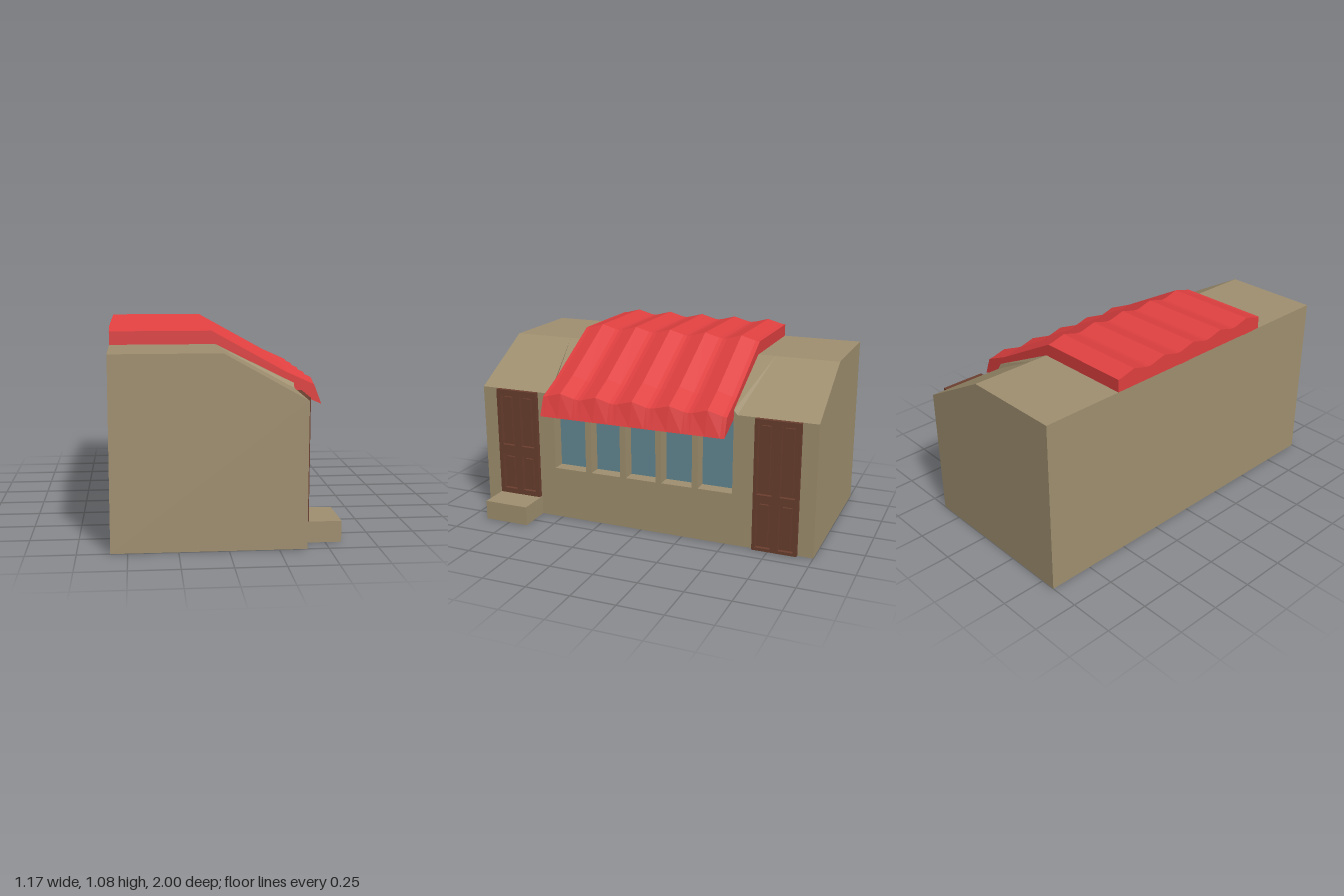
import * as THREE from 'three';
import { ConvexGeometry } from 'three/addons/geometries/ConvexGeometry.js';

const material = (color) => new THREE.MeshStandardMaterial({ color, flatShading: true });

export function createModel() {
  const house = new THREE.Group();
  house.name = 'house';
  const plaster = material(0xa09070);
  const red = material(0xe04040);
  const wood = material(0x6b3f2f);
  const glass = material(0x648a96);

  const add = (parent, name, geometry, mat) => {
    const mesh = new THREE.Mesh(geometry, mat);
    mesh.name = name;
    parent.add(mesh);
    return mesh;
  };
  // Box given by its minimum and maximum corners
  const addBox = (parent, name, mat, [x0, y0, z0], [x1, y1, z1]) => {
    const mesh = add(parent, name, new THREE.BoxGeometry(x1 - x0, y1 - y0, z1 - z0), mat);
    mesh.position.set((x0 + x1) / 2, (y0 + y1) / 2, (z0 + z1) / 2);
    return mesh;
  };
  const toShape = (points) => new THREE.Shape(points.map(([x, y]) => new THREE.Vector2(x, y)));

  const back = -0.585, wall = 0.39, eave = 0.745, ridge = 0.98, half = 0.54;

  // Building: two solid ends and a middle section with a window recess
  const roofLine = [[wall, eave], [-0.03, ridge], [back, ridge]];
  const addSection = (name, notch, z0, z1) => {
    const profile = [[back, 0], [wall, 0], ...notch, ...roofLine];
    const geometry = new THREE.ExtrudeGeometry(toShape(profile), { depth: z1 - z0, bevelEnabled: false });
    add(house, name, geometry.translate(0, 0, z0), plaster);
  };
  const sill = 0.3, head = 0.72, recess = 0.31;
  addSection('leftEndBuilding', [], half, 1);
  addSection('rightEndBuilding', [], -1, -half);
  addSection('middleBuilding',
    [[wall, sill], [recess, sill], [recess, head], [wall, head]], -half, half);

  // Windows and the piers between them
  const pitch = 2 * half / 5;
  for (let i = 0; i < 5; i++) {
    const z = -half + i * pitch;
    addBox(house, 'windowPane', glass, [recess - 0.01, sill, z], [recess + 0.003, head, z + pitch]);
    if (i > 0) addBox(house, 'windowPier', plaster, [recess, sill, z - 0.0175], [wall, head, z + 0.0175]);
  }

  // Roof fillet that lifts the slope up to the tiled part
  const fillet = [];
  for (const s of [-1, 1]) {
    fillet.push(
      new THREE.Vector3(-0.03, ridge, s * 0.64),
      new THREE.Vector3(wall, eave, s * 0.56),
      new THREE.Vector3(wall, 0.77, s * half));
  }
  add(house, 'roofFillet', new ConvexGeometry(fillet), plaster);

  // Corrugated red roof with a drooping front lip
  add(house, 'corrugatedRoof', corrugatedRoof(back, half, pitch), red);

  // Panelled doors
  const addDoor = (name, z0, z1, y0, rows) => {
    const door = new THREE.Group();
    door.name = name;
    house.add(door);
    const width = z1 - z0, middle = (z0 + z1) / 2;
    const outline = toShape([[-width / 2, y0], [width / 2, y0], [width / 2, eave], [-width / 2, eave]]);
    addBox(door, 'doorBacking', wood, [wall - 0.01, y0, z0], [wall + 0.003, eave, z1]);
    for (const s of [-1, 1]) {
      const u = s * 0.0635, h = 0.0415;
      for (const [bottom, top] of rows) {
        outline.holes.push(new THREE.Path([
          new THREE.Vector2(u - h, bottom), new THREE.Vector2(u - h, top),
          new THREE.Vector2(u + h, top), new THREE.Vector2(u + h, bottom)]));
        addBox(door, 'doorPanel', wood,
          [wall, bottom + 0.016, middle + u - h + 0.016],
          [wall + 0.015, top - 0.016, middle + u + h - 0.016]);
      }
    }
    const frame = new THREE.ExtrudeGeometry(outline, { depth: 0.024, bevelEnabled: false });
    add(door, 'doorFrame', frame.rotateY(Math.PI / 2).translate(wall, 0, middle), wood);
  };
  addDoor('leftDoor', 0.64, 0.9, 0.11, [[0.14, 0.352], [0.41, 0.717]]);
  addDoor('rightDoor', -0.913, -0.663, 0.003, [[0.02, 0.285], [0.325, 0.725]]);

  // Doorstep
  addBox(house, 'doorstep', plaster, [wall, 0, 0.635], [0.583, 0.11, 0.9]);
  return house;
}

// Closed cross-sections along z; the upper edge rises and falls with the waves
function corrugatedRoof(back, half, pitch) {
  const ring = (z, w) => [
    [back, 0.978], [-0.03, 0.978], [0.39, 0.765], [0.39, 0.72], [0.54, 0.655],
    [0.5, 0.76 + w], [0.35, 0.828 + w], [-0.05, 1.05 + w], [back, 1.05 + w],
  ].map(([x, y]) => new THREE.Vector3(x, y, z));

  // Each wave: flat valley, rise to a ridge, fall to a flat valley
  const rings = [ring(-half, 0)];
  for (let i = 0; i < 5; i++) {
    const z = -half + i * pitch;
    rings.push(ring(z + 0.024, 0.003), ring(z + pitch / 2, 0.026),
      ring(z + pitch - 0.024, 0.003), ring(z + pitch, 0));
  }
  const points = [];
  for (let i = 0; i + 1 < rings.length; i++) {
    const p = rings[i], q = rings[i + 1];
    for (let j = 0; j < p.length; j++) {
      const k = (j + 1) % p.length;
      points.push(p[j], p[k], q[k], p[j], q[k], q[j]);
    }
  }
  // End caps
  const first = rings[0], last = rings[rings.length - 1];
  const contour = first.map((v) => new THREE.Vector2(v.x, v.y));
  for (const [a, b, c] of THREE.ShapeUtils.triangulateShape(contour, [])) {
    points.push(last[a], last[b], last[c], first[a], first[c], first[b]);
  }
  const geometry = new THREE.BufferGeometry().setFromPoints(points);
  geometry.computeVertexNormals();
  return geometry;
}
